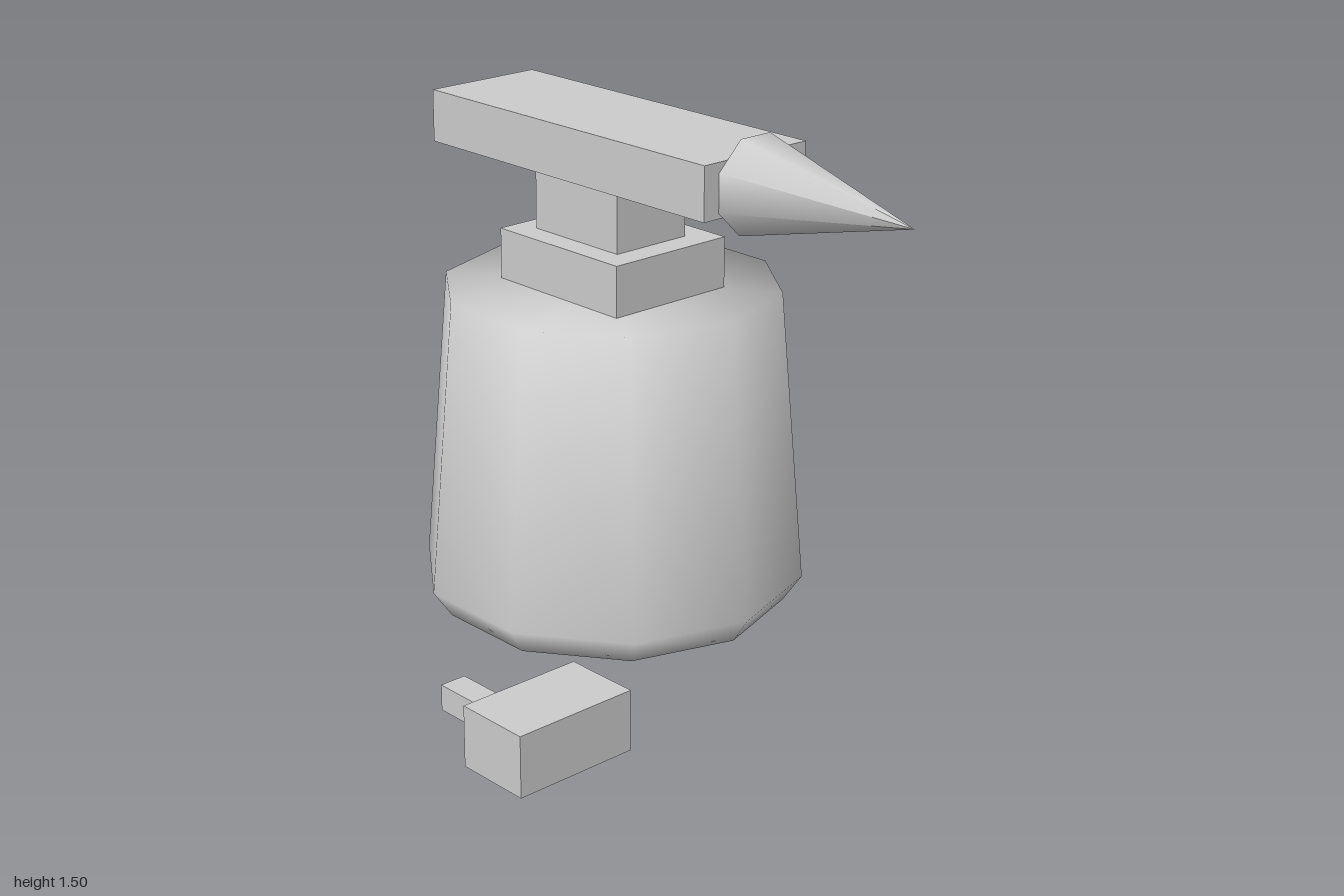
import * as THREE from 'three';

export function createModel() {
  const model = new THREE.Group();
  const material = new THREE.MeshStandardMaterial({ color: 0xcccccc });

  const add = (parent, name, geometry, x = 0, y = 0, z = 0) => {
    const mesh = new THREE.Mesh(geometry, material);
    mesh.name = name;
    mesh.position.set(x, y, z);
    parent.add(mesh);
    return mesh;
  };

  // Box given by its extents along each axis
  const box = (parent, name, [x0, x1], [y0, y1], [z0, z1]) =>
    add(parent, name, new THREE.BoxGeometry(x1 - x0, y1 - y0, z1 - z0),
      (x0 + x1) / 2, (y0 + y1) / 2, (z0 + z1) / 2);

  const group = (name) => {
    const g = new THREE.Group();
    g.name = name;
    model.add(g);
    return g;
  };

  // Ten-sided tapered stump, shaded smoothly over its caps
  const profile = [[0, 0], [0.515, 0], [0.57, 0.08], [0.495, 0.955], [0, 0.955]]
    .map(([r, y]) => new THREE.Vector2(r, y));
  add(model, 'stump', new THREE.LatheGeometry(profile, 10, Math.PI / 2), -0.145, 0, -0.08);

  // Anvil: foot, waist, top and horn
  const anvil = group('anvil');
  box(anvil, 'anvilFoot', [-0.39, 0.105], [0.955, 1.105], [-0.285, 0.13]);
  box(anvil, 'anvilWaist', [-0.32, 0.025], [1.105, 1.295], [-0.205, 0.055]);
  box(anvil, 'anvilTop', [-0.715, 0.425], [1.295, 1.45], [-0.27, 0.11]);
  const horn = new THREE.ConeGeometry(0.144, 0.565, 8);
  horn.rotateY(Math.PI / 8);
  horn.rotateZ(-Math.PI / 2);
  add(anvil, 'anvilHorn', horn, 0.7075, 1.365, -0.077);

  // Hammer lying on the ground
  const hammer = group('hammer');
  box(hammer, 'hammerHead', [0.425, 0.65], [0, 0.175], [0.575, 0.95]);
  box(hammer, 'hammerCollar', [0.39, 0.425], [0, 0.09], [0.61, 0.91]);
  box(hammer, 'hammerHandle', [0.14, 0.39], [0, 0.075], [0.72, 0.8]);

  // Small chest with a lid
  const chest = group('chest');
  box(chest, 'chestBody', [-1, -0.625], [0, 0.265], [-0.95, -0.65]);
  box(chest, 'chestLid', [-0.96, -0.665], [0.265, 0.325], [-0.915, -0.69]);

  return model;
}
